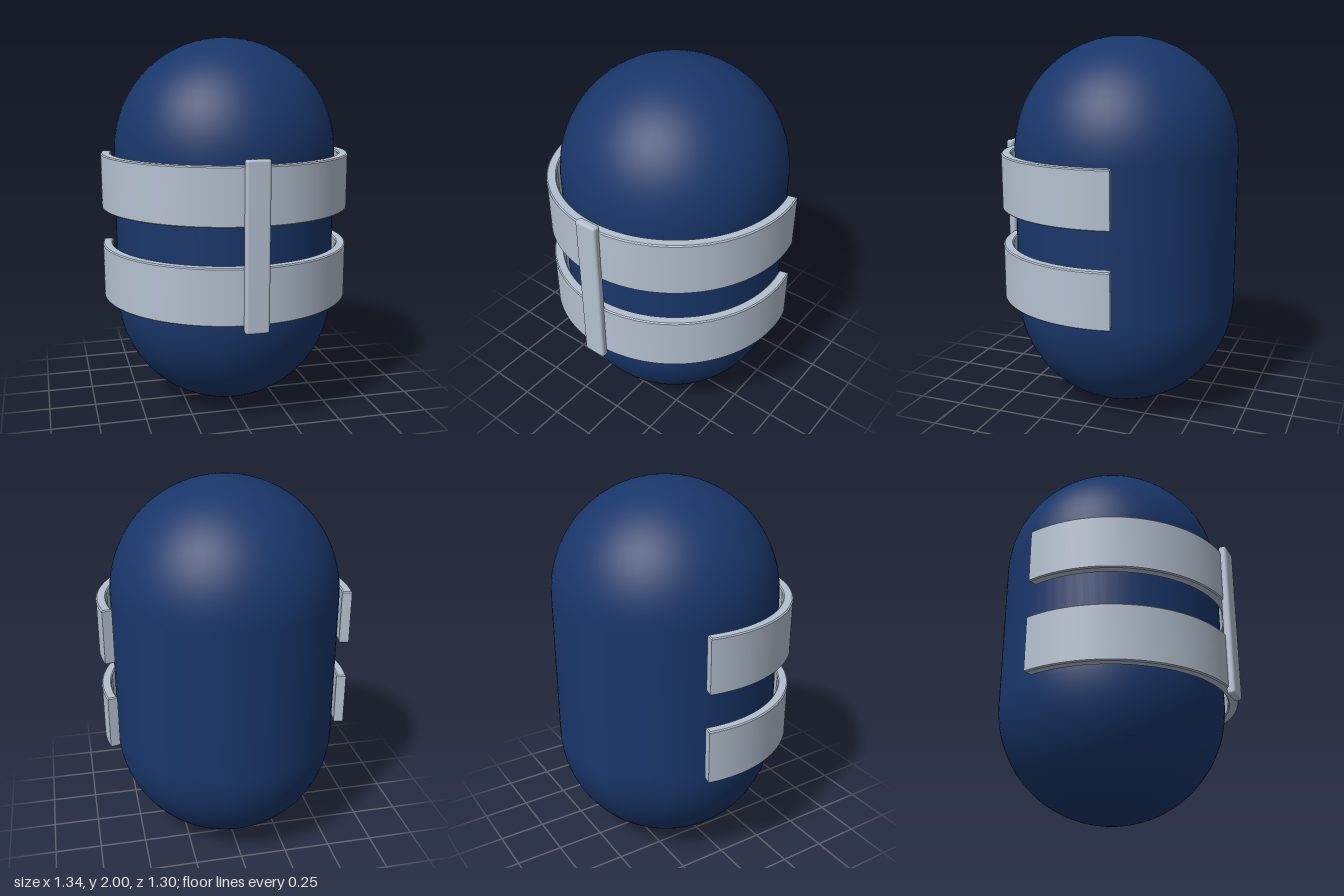
import * as THREE from 'three';
import { toCreasedNormals } from 'three/addons/utils/BufferGeometryUtils.js';
import { RoundedBoxGeometry } from 'three/addons/geometries/RoundedBoxGeometry.js';

const AXIS_Z = -0.05; // the tank's upright axis
const navy = new THREE.MeshStandardMaterial({ color: 0x19366a });
const steel = new THREE.MeshStandardMaterial({ color: 0xb4c0d0 });

function part(name, geometry, material, x, y, z) {
  const mesh = new THREE.Mesh(geometry, material);
  mesh.name = name;
  mesh.position.set(x, y, z);
  return mesh;
}

// Open ring wrapping the front, with lightly bevelled edges, centred on its height
function bandGeometry(inner, outer, height, overlap, bevel) {
  const shape = new THREE.Shape();
  shape.absarc(0, 0, outer, -overlap, Math.PI + overlap, false);
  shape.absarc(0, 0, inner, Math.PI + overlap, -overlap, true);
  shape.closePath();
  const geometry = new THREE.ExtrudeGeometry(shape, {
    depth: height - 2 * bevel,
    curveSegments: 48,
    bevelThickness: bevel,
    bevelSize: bevel,
    bevelOffset: -bevel,
    bevelSegments: 1,
  });
  geometry.translate(0, 0, bevel - height / 2);
  geometry.rotateX(Math.PI / 2);
  return toCreasedNormals(geometry, Math.PI / 7);
}

export function createModel() {
  const model = new THREE.Group();
  model.name = 'strappedTank';

  // Capsule tank
  model.add(part('tank', new THREE.CapsuleGeometry(0.6, 0.8, 24, 64), navy, 0, 1, AXIS_Z));

  // Two curved straps
  const band = bandGeometry(0.62, 0.672, 0.295, THREE.MathUtils.degToRad(13.4), 0.006);
  for (const [name, side] of [['lowerBand', -1], ['upperBand', 1]]) {
    model.add(part(name, band, steel, 0, 1 + side * 0.246, AXIS_Z));
  }

  // Upright bar joining the straps at the front
  model.add(part('frontBar', new RoundedBoxGeometry(0.124, 0.854, 0.044, 3, 0.014), steel, 0, 1, 0.629));

  return model;
}
